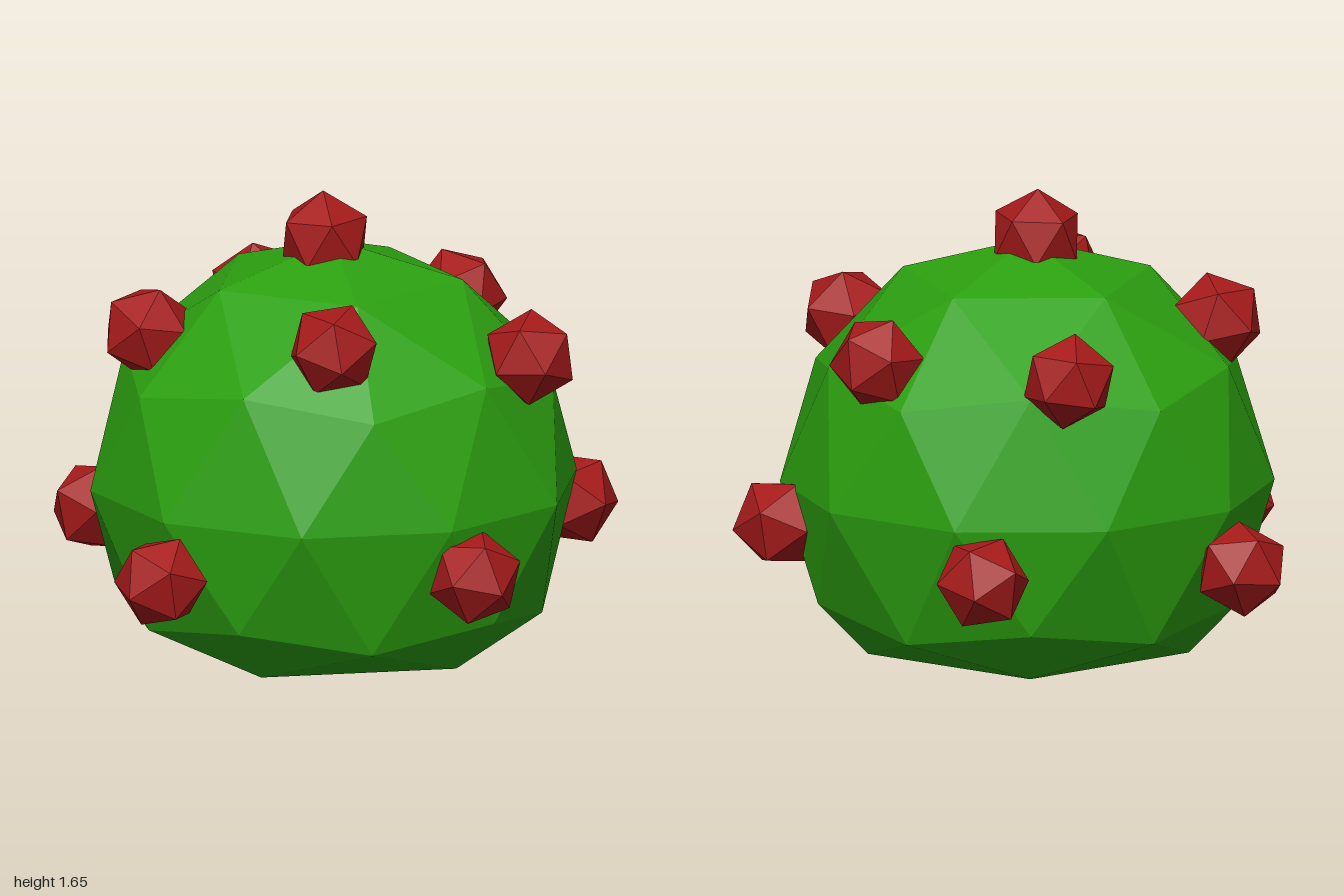
import * as THREE from 'three';

// Icosphere standing on one of its points, with a corner of the upper ring towards +x
function uprightIcosphere(radius, detail) {
  const geo = new THREE.IcosahedronGeometry(radius, detail);
  geo.rotateX(-Math.atan((1 + Math.sqrt(5)) / 2));
  geo.rotateY(Math.PI / 2);
  return geo;
}

export function createModel() {
  const group = new THREE.Group();
  const leafMat = new THREE.MeshStandardMaterial({ color: 0x2ca010, flatShading: true });
  const berryMat = new THREE.MeshStandardMaterial({ color: 0xa51a1a, flatShading: true });

  // Foliage: faceted ball whose lowest points are flattened and spread on the ground
  const R = 0.88;
  const centre = new THREE.Vector3(0.04, 0.59, 0.06);
  const foliageGeo = uprightIcosphere(R, 1);
  const pos = foliageGeo.attributes.position;
  for (let i = 0; i < pos.count; i++) {
    if (pos.getY(i) > -0.7 * R) continue;
    const spread = 0.6 / (0.5257 * R);
    pos.setXYZ(i, pos.getX(i) * spread, -centre.y, pos.getZ(i) * spread);
  }
  foliageGeo.computeVertexNormals();
  const foliage = new THREE.Mesh(foliageGeo, leafMat);
  foliage.name = 'foliage';
  foliage.position.copy(centre);
  group.add(foliage);

  // Berries: icosahedra pointing away from the middle of the bush
  const berries = new THREE.Group();
  berries.name = 'berries';
  const berryGeo = uprightIcosphere(0.172, 0);
  const spots = [
    [0.01, 1.48, 0.07], // crown
    [0.12, 1.22, 0.67], [-0.6, 1.17, 0.28], [0.77, 1.11, 0.25], // upper ring
    [0.41, 1.13, -0.56], [-0.32, 1.12, -0.61],
    [-0.48, 0.39, 0.83], [0.63, 0.41, 0.7], [0.85, 0.46, -0.3], // lower ring
    [-0.85, 0.39, -0.24], [-0.07, 0.42, -0.84],
  ];
  const up = new THREE.Vector3(0, 1, 0);
  spots.forEach((p, i) => {
    const berry = new THREE.Mesh(berryGeo, berryMat);
    berry.name = `berry${i + 1}`;
    berry.position.set(...p);
    berry.quaternion.setFromUnitVectors(up, berry.position.clone().sub(centre).normalize());
    berries.add(berry);
  });
  group.add(berries);
  return group;
}
